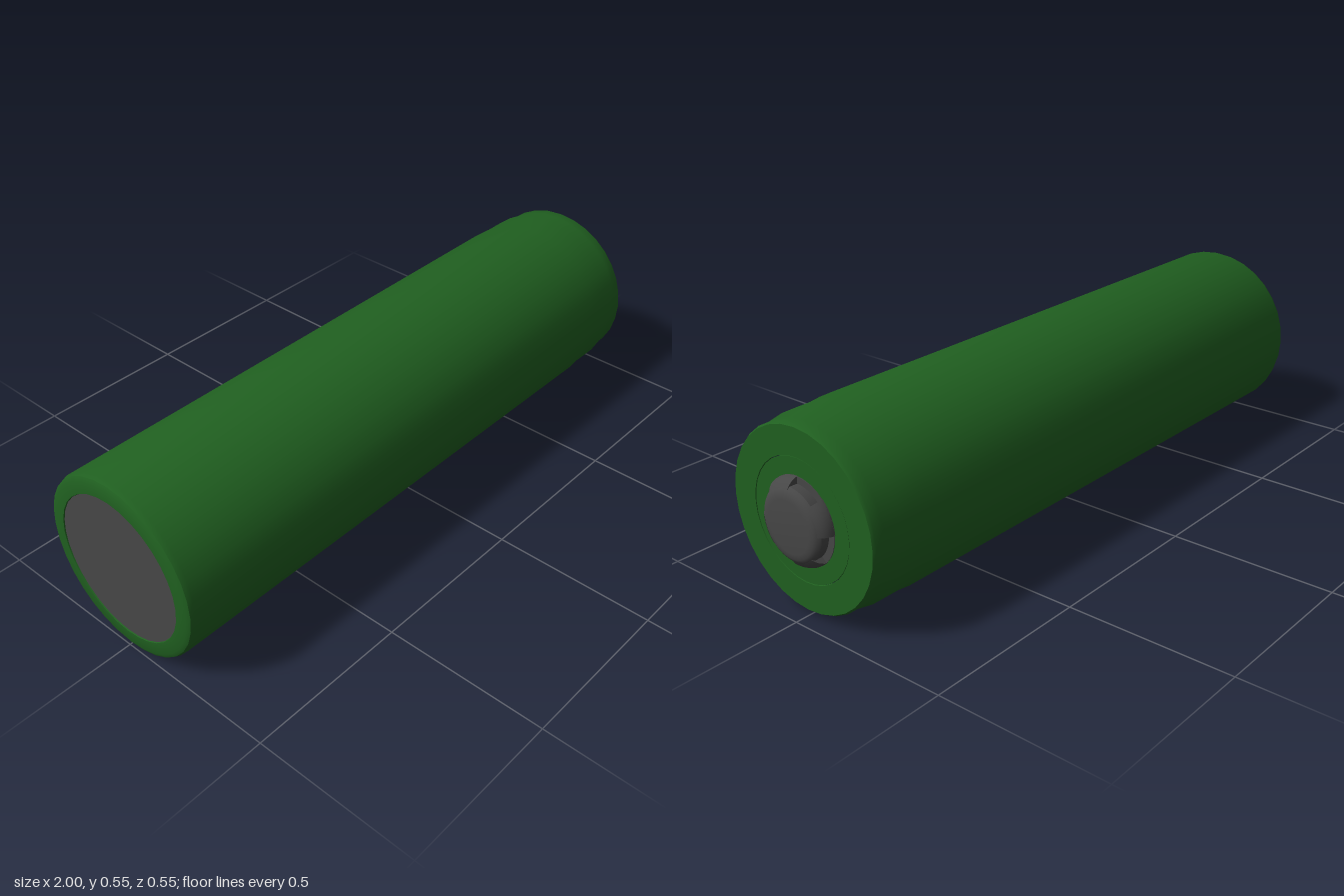
import * as THREE from 'three';
import { toCreasedNormals } from 'three/addons/utils/BufferGeometryUtils.js';

const RADIUS = 0.275;
const SIDES = 32;

const green = new THREE.MeshStandardMaterial({ color: 0x206020 });
const metal = new THREE.MeshStandardMaterial({ color: 0x474747, side: THREE.DoubleSide });

// Turns a profile of [radius, position along the cell] around the long axis.
function turned(name, profile, material, start = 0, sweep = Math.PI * 2, sides = SIDES) {
  const points = profile.map(([r, x]) => new THREE.Vector2(r, x));
  const geometry = new THREE.LatheGeometry(points, sides, start, sweep);
  const mesh = new THREE.Mesh(toCreasedNormals(geometry, 0.6), material);
  mesh.name = name;
  return mesh;
}

export function createModel() {
  const cell = new THREE.Group();
  cell.name = 'batteryCell';

  // Wrapped sleeve: rounded base, shallow step and crimped neck at the terminal end
  cell.add(turned('sleeve', [
    [0.22, -0.996], [0.222, -1], [0.258, -1], [0.27, -0.994], [RADIUS, -0.98],
    [RADIUS, 0.74], [0.271, 0.78], [0.271, 0.87], [0.262, 0.92], [0.262, 0.95],
    [0.257, 0.958], [0.176, 0.958], [0.175, 0.954],
  ], green));

  // Insulating washer around the positive terminal
  cell.add(turned('washer', [[0.174, 0.95], [0.174, 0.957], [0, 0.957]], green));

  // Flat negative terminal
  cell.add(turned('negativeTerminal', [[0, -0.997], [0.222, -0.997]], metal));

  // Positive terminal: domed button, recessed floor and four legs with vents between
  const terminal = new THREE.Group();
  terminal.name = 'positiveTerminal';
  terminal.add(turned('terminalButton', [
    [0.105, 0.958], [0.106, 0.985], [0.1, 0.992], [0.09, 0.998], [0.075, 1], [0, 1],
  ], metal));
  terminal.add(turned('terminalFloor', [[0.125, 0.958], [0.125, 0.96], [0.1, 0.96]], metal));
  for (let i = 0; i < 4; i++) {
    const start = i * Math.PI / 2;
    const sweep = Math.PI / 4;
    const leg = turned('terminalLeg', [
      [0.125, 0.957], [0.124, 0.965], [0.118, 0.977], [0.11, 0.986], [0.1, 0.993],
    ], metal, start, sweep, 6);
    terminal.add(leg);
    // Closed side walls of the leg
    const wall = new THREE.Shape([
      [0.1, 0.957], [0.125, 0.957], [0.124, 0.965], [0.118, 0.977], [0.11, 0.986], [0.1, 0.993],
    ].map(([r, x]) => new THREE.Vector2(r, x)));
    for (const angle of [start, start + sweep]) {
      const side = new THREE.Mesh(new THREE.ShapeGeometry(wall), metal);
      side.name = 'terminalLegSide';
      side.rotation.y = angle - Math.PI / 2;
      terminal.add(side);
    }
  }
  cell.add(terminal);

  // Lay the cell on its side with the positive terminal toward +x
  cell.rotation.z = -Math.PI / 2;
  cell.position.y = RADIUS + 0.001;

  const model = new THREE.Group();
  model.name = 'battery';
  model.add(cell);
  return model;
}
